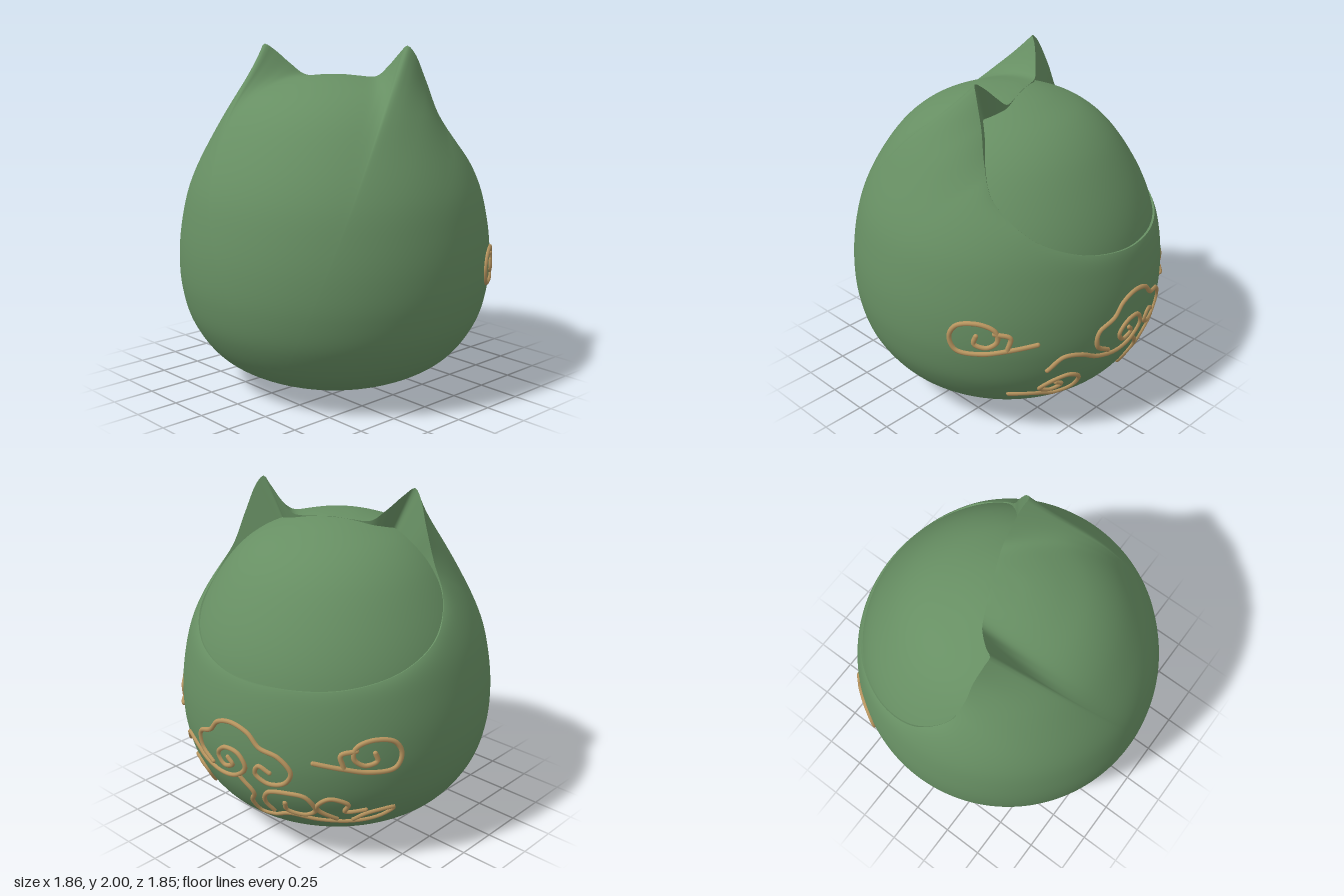
import * as THREE from 'three';

const V = (x, y, z) => new THREE.Vector3(x, y, z);
const CENTER = V(0, 1, 0);

// Egg profile [radius, height]
const profile = new THREE.CatmullRomCurve3([
  [0, 0], [0.2, 0.012], [0.48, 0.07], [0.71, 0.2], [0.855, 0.4], [0.912, 0.6], [0.922, 0.8],
  [0.9, 1], [0.85, 1.2], [0.752, 1.4], [0.605, 1.6], [0.46, 1.715], [0.28, 1.79], [0.13, 1.823], [0, 1.83],
].map(([r, y]) => V(r, y, 0))).getPoints(200);

// Egg radius at a height
function radiusAt(y) {
  for (let i = 1; i < profile.length; i++) {
    const a = profile[i - 1], b = profile[i];
    if (y <= b.y) return THREE.MathUtils.lerp(a.x, b.x, (y - a.y) / (b.y - a.y));
  }
  return 0;
}

// Distance from CENTER to the egg along a direction
const polar = profile.map(p => [Math.atan2(p.x, p.y - 1), Math.hypot(p.x, p.y - 1)]);
function eggDistance(dir) {
  const phi = Math.acos(THREE.MathUtils.clamp(dir.y, -1, 1));
  for (let i = 1; i < polar.length; i++) {
    const [a, da] = polar[i - 1], [b, db] = polar[i];
    if (phi >= b) return THREE.MathUtils.lerp(da, db, THREE.MathUtils.clamp((phi - a) / (b - a), 0, 1));
  }
  return polar[polar.length - 1][1];
}

// Smooth surface from closed loops of points
function loft(loops) {
  const n = loops[0].length, pos = [], index = [];
  loops.forEach(l => l.forEach(p => pos.push(p.x, p.y, p.z)));
  for (let j = 0; j < loops.length - 1; j++) {
    for (let i = 0; i < n; i++) {
      const a = j * n + i, b = j * n + (i + 1) % n;
      index.push(a, b, a + n, b, b + n, a + n);
    }
  }
  const g = new THREE.BufferGeometry();
  g.setAttribute('position', new THREE.Float32BufferAttribute(pos, 3));
  g.setIndex(index);
  g.computeVertexNormals();
  return g;
}

// Half of the hood opening, from chin over one ear to the crown
const halfRim = [
  [0, 1.1, 0.87], [0.33, 1.115, 0.8], [0.58, 1.18, 0.61], [0.7, 1.3, 0.38], [0.672, 1.47, 0.17],
  [0.6, 1.62, 0.1], [0.54, 1.8, 0.06], [0.485, 1.96, 0.01], [0.45, 2.0, -0.01], [0.4, 1.965, 0.02],
  [0.31, 1.88, 0.06], [0.23, 1.82, 0.085], [0.12, 1.819, 0.09], [0, 1.826, 0.09],
];
const rimPoints = [...halfRim, ...halfRim.slice(1, -1).reverse().map(([x, y, z]) => [-x, y, z])];

// Cloud strokes in [side, height]
const bigCloud = [
  [[0.467, 0.52], [0.4, 0.6], [0.3, 0.59], [0.19, 0.535], [0.03, 0.505], [-0.09, 0.535], [-0.16, 0.61],
    [-0.12, 0.685], [-0.02, 0.69], [0.04, 0.63], [0, 0.57], [-0.07, 0.6], [-0.04, 0.635]],
  [[0.11, 0.545], [0.2, 0.61], [0.2, 0.705], [0.095, 0.76], [0.03, 0.83], [-0.075, 0.86], [-0.19, 0.83],
    [-0.26, 0.76], [-0.365, 0.725], [-0.425, 0.64], [-0.38, 0.56], [-0.285, 0.54], [-0.22, 0.59],
    [-0.25, 0.645], [-0.31, 0.615]],
];
const lowCloud = [
  [[-0.11, 0.53], [-0.175, 0.44], [-0.13, 0.36], [-0.145, 0.28], [-0.235, 0.28], [-0.34, 0.325],
    [-0.47, 0.295], [-0.605, 0.28], [-0.7, 0.31], [-0.765, 0.375], [-0.685, 0.355], [-0.61, 0.3]],
  [[-0.25, 0.325], [-0.23, 0.4], [-0.275, 0.475], [-0.39, 0.495], [-0.47, 0.48], [-0.49, 0.385],
    [-0.42, 0.335], [-0.34, 0.36], [-0.35, 0.415]],
  [[-0.55, 0.31], [-0.5, 0.4], [-0.58, 0.48], [-0.64, 0.44], [-0.61, 0.375], [-0.685, 0.385]],
];
const smallCloud = [
  [[0.573, 0.32], [0.456, 0.31], [0.34, 0.28], [0.26, 0.32], [0.26, 0.4], [0.34, 0.45], [0.42, 0.42],
    [0.456, 0.36], [0.39, 0.335], [0.35, 0.375], [0.39, 0.4]],
];
const edgeCloud = [
  [[0.755, 0.715], [0.655, 0.685], [0.54, 0.655], [0.42, 0.665], [0.39, 0.75], [0.43, 0.825],
    [0.53, 0.845], [0.6, 0.81], [0.61, 0.74], [0.565, 0.7], [0.51, 0.72], [0.52, 0.77]],
  [[0.6, 0.79], [0.66, 0.77], [0.65, 0.69]],
];

export function createModel() {
  const green = new THREE.MeshStandardMaterial({ color: 0x678f63, side: THREE.DoubleSide });
  green.name = 'sage green';
  const tan = new THREE.MeshStandardMaterial({ color: 0xb8955f });
  tan.name = 'tan';

  const model = new THREE.Group();
  model.name = 'hoodedFigure';
  const add = (parent, name, geometry, material) => {
    const mesh = new THREE.Mesh(geometry, material);
    mesh.name = name;
    parent.add(mesh);
  };

  // Body, turned so that the face looks along +x and slightly back
  const body = new THREE.Group();
  body.name = 'body';
  body.rotation.y = THREE.MathUtils.degToRad(114);
  model.add(body);

  const curve = new THREE.CatmullRomCurve3(rimPoints.map(p => V(...p)), true);
  const rim = curve.getSpacedPoints(240).slice(0, -1);
  const rays = rim.map(p => {
    const dir = p.clone().sub(CENTER), length = dir.length();
    dir.normalize();
    return { dir, lift: length - eggDistance(dir) };
  });

  // Hood: sweeps from the opening to the far pole, the ear lift fading away
  const pole = V(0, -0.72, -0.69).normalize();
  const rows = 90, loops = [];
  for (let j = 0; j <= rows; j++) {
    const s = Math.pow(j / rows, 1.4);
    loops.push(rays.map(({ dir, lift }) => {
      const total = dir.angleTo(pole), angle = s * total;
      const d = dir.clone().multiplyScalar(Math.sin(total - angle))
        .addScaledVector(pole, Math.sin(angle)).normalize();
      const fade = Math.exp(-angle / (lift > 0 ? 0.26 : 0.05));
      return d.multiplyScalar(eggDistance(d) + lift * fade).add(CENTER);
    }));
  }
  add(body, 'hood', loft(loops), green);

  // Ear fronts and inner lip of the opening
  const inner = rays.map(({ dir }) => dir.clone().multiplyScalar(eggDistance(dir) * 0.93).add(CENTER));
  add(body, 'hoodLip', loft([rim, inner]), green);

  // Smooth face dome inside the hood
  const dome = profile.filter(p => p.y > 0.95).map(p => new THREE.Vector2(p.x * 0.975, p.y - 0.003));
  add(body, 'face', new THREE.LatheGeometry(dome, 96), green);

  // Raised cloud lines laid on the body
  const addCloud = (name, strokes, place) => {
    const group = new THREE.Group();
    group.name = name;
    model.add(group);
    strokes.forEach(points => {
      const flat = new THREE.CatmullRomCurve3(points.map(([a, y]) => V(a, y, 0))).getPoints(points.length * 6);
      const path = new THREE.CatmullRomCurve3(flat.map(p => {
        const r = radiusAt(p.y) + 0.002;
        return place(p.x, p.y, Math.sqrt(Math.max(0, r * r - p.x * p.x)));
      }));
      add(group, name + 'Line', new THREE.TubeGeometry(path, points.length * 8, 0.014, 8), tan);
      // Rounded stroke ends
      [0, 1].forEach(t => {
        const p = path.getPoint(t);
        add(group, name + 'End', new THREE.SphereGeometry(0.014, 8, 6).translate(p.x, p.y, p.z), tan);
      });
    });
  };
  const onSide = (a, y, depth) => V(depth, y, a);
  addCloud('bigCloud', bigCloud, onSide);
  addCloud('lowCloud', lowCloud, onSide);
  addCloud('smallCloud', smallCloud, onSide);
  addCloud('frontCloud', edgeCloud, (a, y, depth) => V(a, y, depth));
  addCloud('backCloud', edgeCloud, (a, y, depth) => V(a, y, -depth));

  return model;
}
